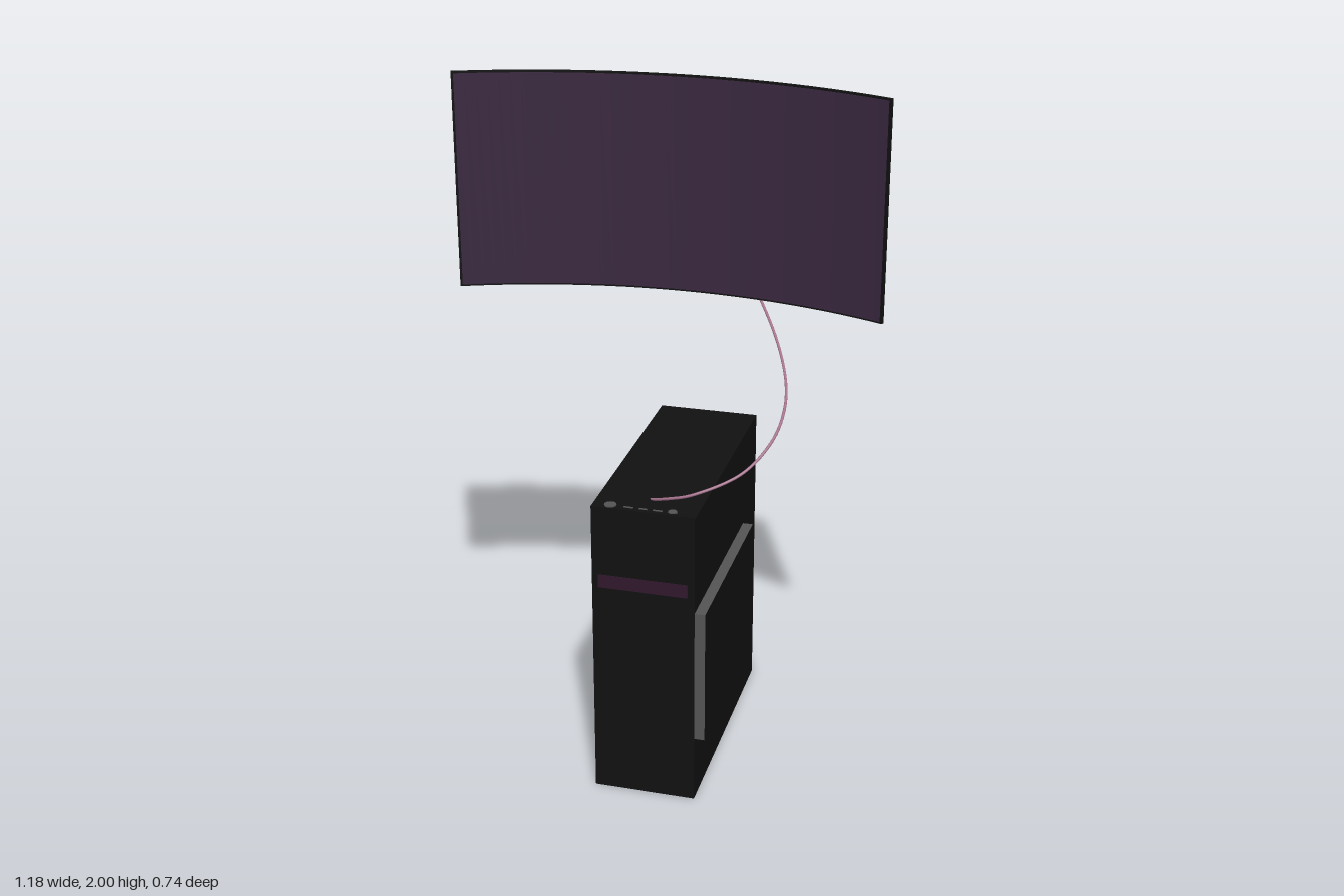
import * as THREE from 'three';
import { toCreasedNormals } from 'three/addons/utils/BufferGeometryUtils.js';

const mat = (color) => new THREE.MeshStandardMaterial({ color });

export function createModel() {
  const root = new THREE.Group();
  const black = mat(0x111111);
  const grey = mat(0x555555);
  const darkGrey = mat(0x3a3a3a);
  const purple = mat(0x3a2840);
  const slotPurple = mat(0x32182e);
  const pink = mat(0xa8748f);

  const add = (parent, name, geometry, material) => {
    const mesh = new THREE.Mesh(geometry, material);
    mesh.name = name;
    parent.add(mesh);
    return mesh;
  };
  // Box given by its min and max on each axis
  const box = (parent, name, material, [x0, x1], [y0, y1], [z0, z1]) => {
    const mesh = add(parent, name, new THREE.BoxGeometry(x1 - x0, y1 - y0, z1 - z0), material);
    mesh.position.set((x0 + x1) / 2, (y0 + y1) / 2, (z0 + z1) / 2);
    return mesh;
  };
  const polygon = (points) => new THREE.Shape(points.map(([x, y]) => new THREE.Vector2(x, y)));

  // ---- Tower case, with a shallow recess along its -x side ----
  const tower = new THREE.Group();
  tower.name = 'tower';
  root.add(tower);
  const W = 0.147, H = 0.887, D = 0.37, inset = 0.03;
  const low = 0.2, high = 0.6;
  box(tower, 'caseCore', black, [-W + inset, W], [0, H], [-D, D]);
  box(tower, 'caseLowerRail', black, [-W, -W + inset], [0, low], [-D, D]);
  box(tower, 'caseUpperRail', black, [-W, -W + inset], [high, H], [-D, D]);
  for (const s of [-1, 1]) {
    const z = s * (D - 0.001);
    box(tower, 'recessEnd', black, [-W, -W + inset], [low, high], [z - 0.001, z + 0.001]);
  }
  box(tower, 'recessPanel', darkGrey, [-W + inset - 0.001, -W + inset + 0.001], [low, high], [-D + 0.002, D - 0.002]);

  // Raised side panel with a slanted rear edge
  const sideShape = polygon([[-D, low], [0, low], [0.21, high], [-D, high]]);
  const sideGeo = new THREE.ExtrudeGeometry(sideShape, { depth: inset, bevelEnabled: false });
  sideGeo.rotateY(Math.PI / 2).translate(W, 0, 0);
  add(tower, 'sidePanel', sideGeo, [black, grey]);

  // Thin triangular plate on the lid
  const lidShape = polygon([[-W, -0.15], [W, D], [-W, D]]);
  const lidGeo = new THREE.ExtrudeGeometry(lidShape, { depth: 0.004, bevelEnabled: false });
  lidGeo.rotateX(Math.PI / 2).translate(0, H + 0.004, 0);
  add(tower, 'lidPlate', lidGeo, black);

  // Front drive slot
  box(tower, 'driveSlot', slotPurple, [-0.13, 0.127], [0.645, 0.685], [D - 0.002, D + 0.001]);

  // Buttons and ports near the front of the lid
  for (const [x, r] of [[-0.097, 0.017], [0.08, 0.012]]) {
    const button = add(tower, 'button', new THREE.CylinderGeometry(r, r, 0.008, 24), grey);
    button.position.set(x, H + 0.003, 0.35);
  }
  for (let i = 0; i < 4; i++) {
    const x = -0.045 + i * 0.042;
    box(tower, 'port', grey, [x - 0.013, x + 0.013], [H, H + 0.006], [0.351, 0.356]);
  }

  // ---- Curved monitor ----
  const monitor = new THREE.Group();
  monitor.name = 'monitor';
  root.add(monitor);
  const R = 1.51;
  // Slab bent round a vertical axis at z = R, between two radii
  const curvedSlab = (outer, inner, halfAngle, y0, y1) => {
    const steps = 40, pts = [];
    const at = (r, a) => pts.push([r * Math.sin(a), R - r * Math.cos(a)]);
    for (let i = 0; i <= steps; i++) at(outer, halfAngle * (2 * i / steps - 1));
    for (let i = steps; i >= 0; i--) at(inner, halfAngle * (2 * i / steps - 1));
    const geo = new THREE.ExtrudeGeometry(polygon(pts), { depth: y1 - y0, bevelEnabled: false });
    geo.rotateX(Math.PI / 2).translate(0, y1, 0);
    return toCreasedNormals(geo, 0.5);
  };
  const half = Math.asin(0.592 / R);
  add(monitor, 'monitorShell', curvedSlab(R, R - 0.01, half, 1.4, 2), black);
  add(monitor, 'screen', curvedSlab(R - 0.009, R - 0.012, half - 0.004, 1.405, 1.995), purple);

  // Wall arm with a flared foot
  const armProfile = [[0, 0], [0.028, 0], [0.028, 0.335], [0.034, 0.348], [0.065, 0.361], [0, 0.361]]
    .map(([r, y]) => new THREE.Vector2(r, y));
  const armGeo = toCreasedNormals(new THREE.LatheGeometry(armProfile, 32), 0.6);
  armGeo.rotateX(-Math.PI / 2);
  const arm = add(monitor, 'wallArm', armGeo, mat(0x111111));
  arm.material.side = THREE.DoubleSide;
  arm.position.y = 1.737;

  // ---- Cable from the back of the monitor to the lid ----
  const path = [
    [0, 1.92, 0], [-0.06, 1.885, -0.08], [-0.09, 1.81, -0.165], [-0.035, 1.65, -0.25],
    [0.03, 1.54, -0.262], [0.14, 1.4, -0.22], [0.25, 1.25, -0.12], [0.31, 1.155, 0],
    [0.325, 1.1, 0.1], [0.31, 1.05, 0.19], [0.25, 0.99, 0.275], [0.13, 0.94, 0.332],
    [0.06, 0.915, 0.32], [0, 0.888, 0.283],
  ].map((p) => new THREE.Vector3(...p));
  add(root, 'cable', new THREE.TubeGeometry(new THREE.CatmullRomCurve3(path), 120, 0.004, 8), pink);

  return root;
}
